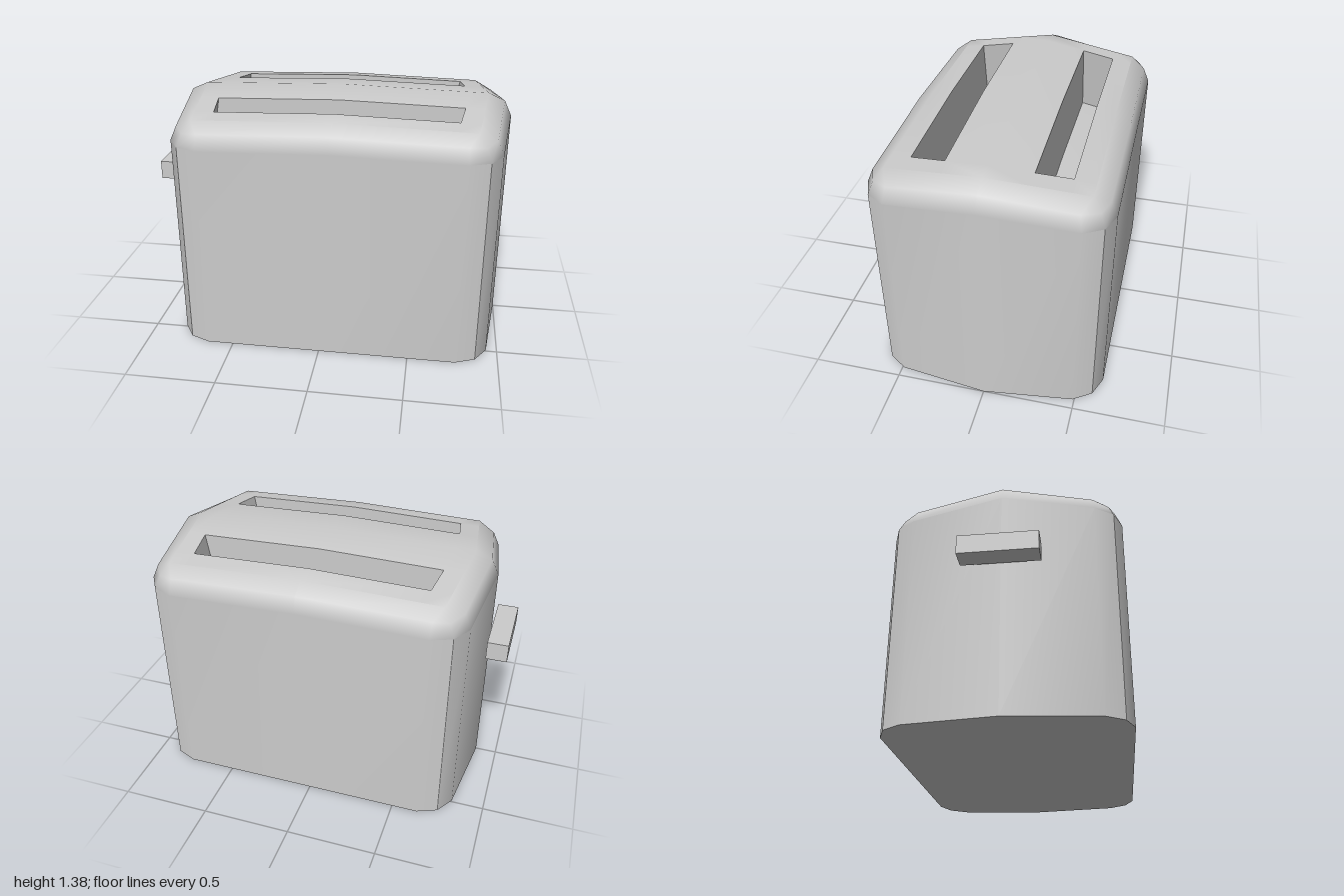
import * as THREE from 'three';
import { mergeVertices, toCreasedNormals } from 'three/addons/utils/BufferGeometryUtils.js';

const material = new THREE.MeshStandardMaterial({ color: 0xcccccc });

// Quarter outlines [x, y, z], from the middle of the front to the middle of the side
const SHOULDER = [[0, 1.185, 0.635], [0.705, 1.17, 0.635], [0.815, 1.17, 0.59], [0.88, 1.175, 0.49], [0.94, 1.24, 0]];
const BEVEL = [[0, 1.27, 0.605], [0.705, 1.25, 0.6], [0.79, 1.24, 0.565], [0.845, 1.255, 0.48], [0.9, 1.325, 0]];
const CORNER = [0.75, 1.3, 0.52];
const RIM = [[0, 1.32, 0.52], CORNER, CORNER, CORNER, [0.81, 1.365, 0]];

// Mirror a quarter outline into a closed ring, counter-clockwise from above
function ring(quarter) {
  const back = [...quarter].reverse();
  return [[1, 1, quarter], [1, -1, back], [-1, -1, quarter], [-1, 1, back]].flatMap(([sx, sz, q]) =>
    q.slice(0, 4).map(([x, y, z]) => [x * sx, y, z * sz]));
}

// Quad a-b-c-d, counter-clockwise from its front
const quad = (out, a, b, c, d) => out.push(...a, ...b, ...c, ...a, ...c, ...d);

function strip(out, lower, upper) {
  lower.forEach((p, i) => {
    const n = (i + 1) % lower.length;
    quad(out, p, lower[n], upper[n], upper[i]);
  });
}

function toGeometry(points) {
  const g = new THREE.BufferGeometry();
  g.setAttribute('position', new THREE.Float32BufferAttribute(points, 3));
  return g;
}

function addMesh(group, name, geometry) {
  const mesh = new THREE.Mesh(geometry, material);
  mesh.name = name;
  group.add(mesh);
  return mesh;
}

// Point of the crowned top: column 0..4 across, at depth z
function topPoint(col, z) {
  const d = Math.abs(z);
  const edge = 0.81 - 0.06 * d / 0.52;
  const slotEnd = 0.71 - 0.135 * d;
  const x = [-edge, -slotEnd, 0, slotEnd, edge][col];
  return [x, 1.385 - 0.125 * d - 0.02 * Math.abs(x) / edge, z];
}

export function createModel() {
  const model = new THREE.Group();
  model.name = 'toaster';
  const body = new THREE.Group();
  body.name = 'body';
  body.position.x = 0.06;
  model.add(body);

  // Upright walls
  const shoulder = ring(SHOULDER);
  const base = shoulder.map(([x, , z]) => [x, 0, z]);
  const walls = [];
  strip(walls, base, shoulder);
  addMesh(body, 'walls', toCreasedNormals(toGeometry(walls), 0.54));

  // Flat underside
  const underside = [];
  base.forEach((p, i) => underside.push(0, 0, 0, ...base[(i + 1) % base.length], ...p));
  const undersideGeometry = toGeometry(underside);
  undersideGeometry.computeVertexNormals();
  addMesh(body, 'underside', undersideGeometry);

  // Rounded shoulder and crowned top, leaving two slots open
  const cover = [];
  strip(cover, shoulder, ring(BEVEL));
  strip(cover, ring(BEVEL), ring(RIM));
  const rows = [-0.52, -0.41, -0.225, 0, 0.225, 0.41, 0.52];
  for (let r = 0; r < 6; r++) {
    for (let c = 0; c < 4; c++) {
      if ((r === 1 || r === 4) && (c === 1 || c === 2)) continue;
      quad(cover, topPoint(c, rows[r + 1]), topPoint(c + 1, rows[r + 1]),
        topPoint(c + 1, rows[r]), topPoint(c, rows[r]));
    }
  }
  const coverGeometry = mergeVertices(toGeometry(cover), 1e-4);
  coverGeometry.computeVertexNormals();
  // Level the lowest normals so the shoulder blends into the walls
  const pos = coverGeometry.attributes.position;
  const normal = coverGeometry.attributes.normal;
  for (let i = 0; i < pos.count; i++) {
    const low = shoulder.some(([x, y, z]) =>
      Math.abs(pos.getX(i) - x) + Math.abs(pos.getY(i) - y) + Math.abs(pos.getZ(i) - z) < 1e-3);
    if (low) normal.setY(i, 0);
  }
  coverGeometry.normalizeNormals();
  addMesh(body, 'topCover', coverGeometry);

  // Bread slots, leaning slightly towards the lever
  [['backSlot', rows[1], rows[2]], ['frontSlot', rows[4], rows[5]]].forEach(([name, z0, z1]) => {
    const lip = [1, 2, 3].map(c => topPoint(c, z1)).concat([3, 2, 1].map(c => topPoint(c, z0)));
    const floor = lip.map(([x, y, z]) => [x - 0.065, y - 0.4, z]);
    const slot = [];
    strip(slot, lip, floor);
    quad(slot, floor[0], floor[1], floor[4], floor[5]);
    quad(slot, floor[1], floor[2], floor[3], floor[4]);
    addMesh(body, name, toCreasedNormals(toGeometry(slot), 0.5));
  });

  // Lever
  const lever = addMesh(model, 'lever', new THREE.BoxGeometry(0.115, 0.105, 0.42));
  lever.position.set(-0.9425, 0.882, 0);
  return model;
}
